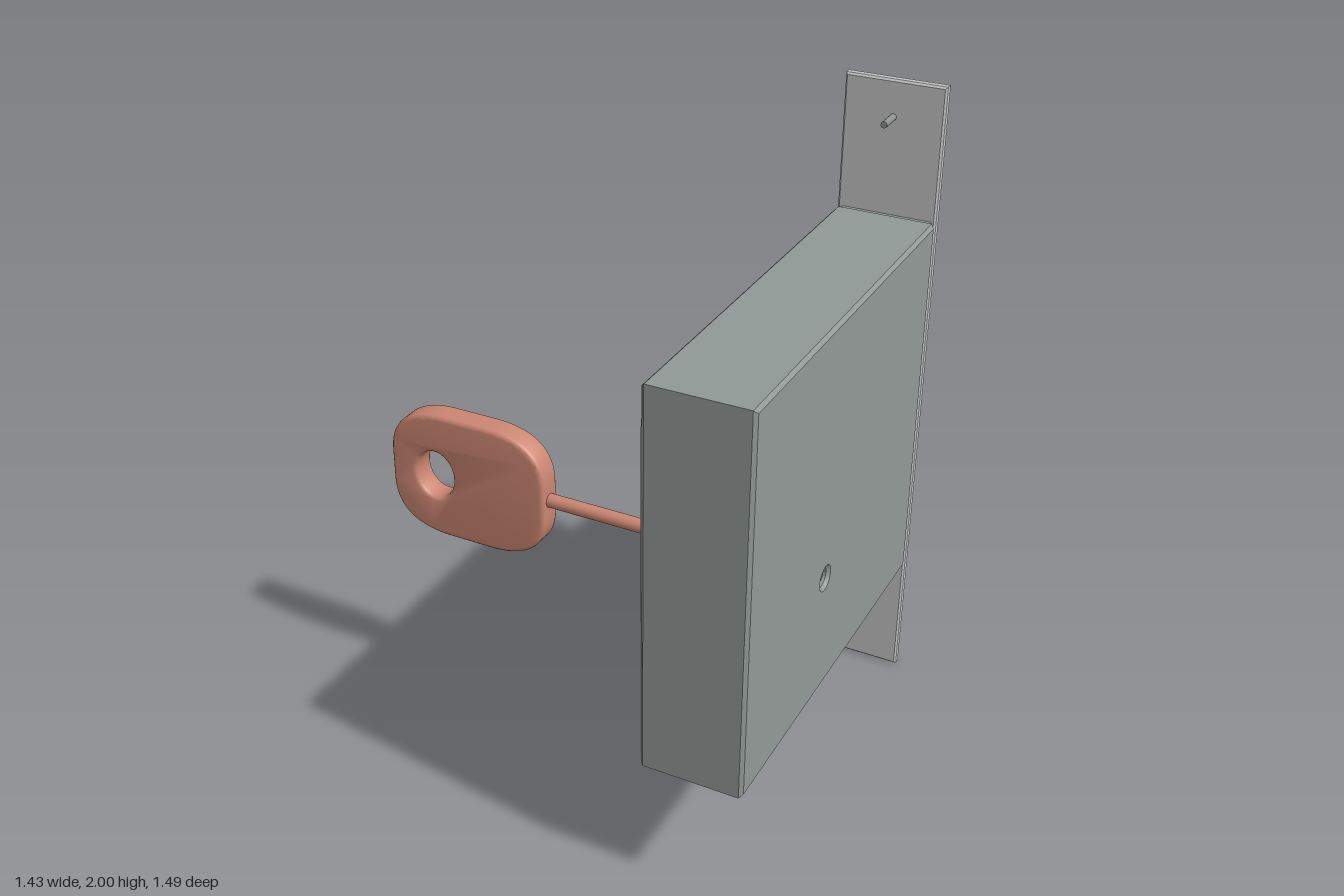
import * as THREE from 'three';
import { toCreasedNormals } from 'three/addons/utils/BufferGeometryUtils.js';
import { RoundedBoxGeometry } from 'three/addons/geometries/RoundedBoxGeometry.js';

const mat = (name, color) => new THREE.MeshStandardMaterial({ name, color });

// closed rectangle outline
function rect(x0, x1, y0, y1, Type = THREE.Shape) {
  const s = new Type();
  s.moveTo(x0, y0).lineTo(x1, y0).lineTo(x1, y1).lineTo(x0, y1).closePath();
  return s;
}

// extrude an outline from z = z0 to z1 with its bevel kept inside those limits
function slab(shape, z0, z1, bevel, segments = 1) {
  const g = new THREE.ExtrudeGeometry(shape, {
    depth: z1 - z0 - 2 * bevel, bevelEnabled: bevel > 0, bevelThickness: bevel,
    bevelSize: bevel, bevelOffset: -bevel, bevelSegments: segments, curveSegments: 20,
  });
  return g.translate(0, 0, z0 + bevel);
}

// turn a slab sideways: shape x becomes -z, depth becomes x
const sideways = (g) => g.rotateY(Math.PI / 2);

export function createModel() {
  const model = new THREE.Group();
  model.name = 'mortiseLock';
  const steel = mat('caseGrey', 0x919996);
  const plate = mat('plateGrey', 0xc3c5c3);
  const dark = mat('screwGrey', 0x8c9090);
  const brass = mat('boltTan', 0xcbc1a7);
  const copper = mat('keyCopper', 0xcb8672);

  const add = (name, geometry, material, parent = model) => {
    const m = new THREE.Mesh(geometry, material);
    m.name = name;
    parent.add(m);
    return m;
  };
  const box = (name, x0, x1, y0, y1, z0, z1, material, r = 0) => {
    const size = [x1 - x0, y1 - y0, z1 - z0];
    const g = r ? new RoundedBoxGeometry(...size, 2, r) : new THREE.BoxGeometry(...size);
    return add(name, g.translate((x0 + x1) / 2, (y0 + y1) / 2, (z0 + z1) / 2), material);
  };

  // case with a round key opening through its side
  const caseShape = rect(-0.74, 0.525, 0.41, 1.595);
  caseShape.holes.push(new THREE.Path().absarc(-0.205, 0.8, 0.03, 0, Math.PI * 2, true));
  add('lockCase', toCreasedNormals(sideways(slab(caseShape, 0.403, 0.712, 0.01)), 0.5), steel);

  // flanges joining the case to the faceplate
  for (const y of [0.422, 1.583]) box('flange', 0.42, 0.695, y - 0.01, y + 0.01, -0.545, -0.52, steel);

  // side cover and keyhole escutcheon with its slot
  box('sideCover', 0.39, 0.404, 0.43, 1.57, -0.51, 0.71, plate);
  const guard = rect(-0.27, -0.13, 0.49, 0.86);
  guard.holes.push(rect(-0.222, -0.178, 0.53, 0.825, THREE.Path));
  add('keyholeGuard', sideways(slab(guard, 0.384, 0.391, 0)), steel);

  // faceplate with an opening for the bolt
  const face = rect(0.403, 0.708, 0, 2);
  face.holes.push(rect(0.455, 0.655, 0.99, 1.37, THREE.Path));
  add('faceplate', slab(face, -0.572, -0.54, 0.006), plate);

  // bolt head and the narrower tail behind it
  box('boltHead', 0.465, 0.645, 1.005, 1.35, -0.745, -0.565, brass, 0.004);
  box('boltTail', 0.485, 0.625, 1.1, 1.31, -0.57, -0.5, brass);

  // faceplate screws
  for (const y of [0.115, 1.89]) {
    const screw = new THREE.Group();
    screw.name = 'screw';
    screw.position.set(0.555, y, 0);
    model.add(screw);
    const shank = new THREE.CylinderGeometry(0.01, 0.01, 0.11, 16).rotateX(Math.PI / 2);
    add('screwShank', shank.translate(0, 0, -0.52), dark, screw);
    const head = new THREE.CylinderGeometry(0.028, 0.024, 0.012, 24).rotateX(-Math.PI / 2);
    add('screwHead', head.translate(0, 0, -0.575), dark, screw);
  }

  // key: soft-cornered bow with an oval hole, and a long round shank
  const key = new THREE.Group();
  key.name = 'key';
  key.position.set(0, 0.8, 0.2);
  model.add(key);
  const l = -0.72, r = -0.178, t = 0.212, cx = 0.2, cy = 0.16, k = 0.35;
  const bow = new THREE.Shape();
  bow.moveTo(l + cx, -t).lineTo(r - cx, -t);
  bow.bezierCurveTo(r - cx * k, -t, r, -t + cy * k, r, -t + cy);
  bow.lineTo(r, t - cy);
  bow.bezierCurveTo(r, t - cy * k, r - cx * k, t, r - cx, t);
  bow.lineTo(l + cx, t);
  bow.bezierCurveTo(l + cx * k, t, l, t - cy * k, l, t - cy);
  bow.lineTo(l, -t + cy);
  bow.bezierCurveTo(l, -t + cy * k, l + cx * k, -t, l + cx, -t);
  bow.holes.push(new THREE.Path().absellipse(-0.565, 0, 0.066, 0.08, 0, Math.PI * 2, true));
  add('keyBow', toCreasedNormals(slab(bow, -0.042, 0.042, 0.014, 3), 0.7), copper, key);
  const shank = new THREE.CylinderGeometry(0.022, 0.022, 0.89, 24).rotateZ(Math.PI / 2);
  add('keyShank', shank.translate(0.25, 0, 0.003), copper, key);

  return model;
}
